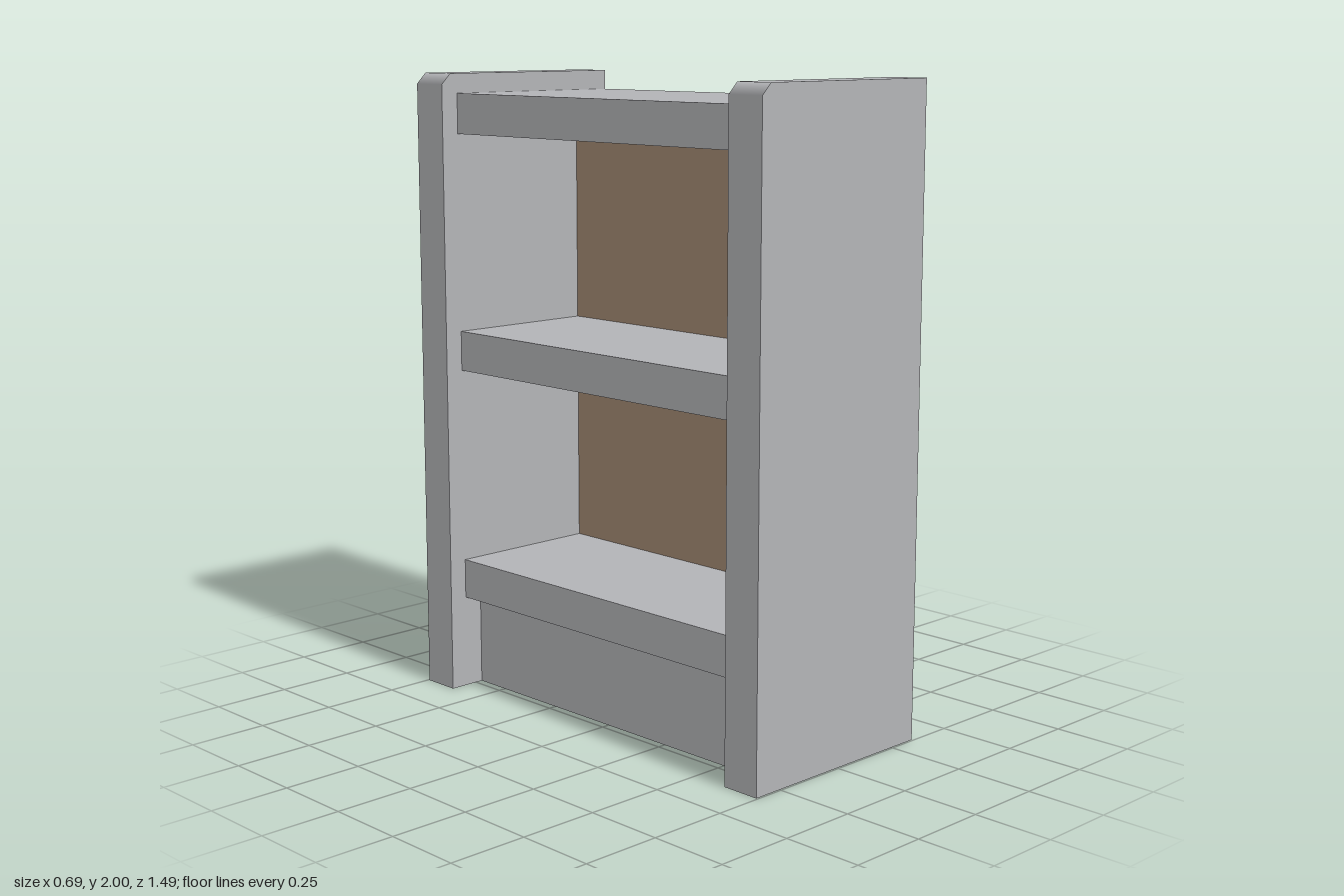
import * as THREE from 'three';

const grey = new THREE.MeshStandardMaterial({ color: 0xb3b4b7 });
grey.name = 'grey paint';
const brown = new THREE.MeshStandardMaterial({ color: 0xa48a74 });
brown.name = 'brown backing';

const FRONT = -0.347, BACK = 0.347; // open side and closed side along x
const INNER = 0.62, OUTER = 0.745;  // inner and outer faces of the side panels
const THICK = 0.127;

// Box given by its x and y limits, spanning the gap between the side panels
function board(name, x0, x1, y0, y1, material = grey) {
  const mesh = new THREE.Mesh(new THREE.BoxGeometry(x1 - x0, y1 - y0, INNER * 2), material);
  mesh.position.set((x0 + x1) / 2, (y0 + y1) / 2, 0);
  mesh.name = name;
  return mesh;
}

// Side panel with a softened upper front corner
function sidePanelGeometry() {
  const c = 0.034;
  const shape = new THREE.Shape([
    [FRONT, 0], [BACK, 0], [BACK, 2], [FRONT + c, 2], [FRONT, 2 - c],
  ].map(([x, y]) => new THREE.Vector2(x, y)));
  const geometry = new THREE.ExtrudeGeometry(shape, { depth: OUTER - INNER, bevelEnabled: false });
  // Blend the corner smoothly from the top face into the front edge
  const { position, normal } = geometry.attributes;
  for (let i = 0; i < position.count; i++) {
    if (normal.getX(i) < -0.1 && normal.getY(i) > 0.1) {
      if (position.getY(i) > 1.99) normal.setXYZ(i, 0, 1, 0);
      else normal.setXYZ(i, -1, 0, 0);
    }
  }
  return geometry;
}

export function createModel() {
  const bookcase = new THREE.Group();
  bookcase.name = 'bookcase';

  // Side panels
  const panel = sidePanelGeometry();
  [['sidePanelNear', INNER], ['sidePanelFar', -OUTER]].forEach(([name, z]) => {
    const mesh = new THREE.Mesh(panel, grey);
    mesh.position.z = z;
    mesh.name = name;
    bookcase.add(mesh);
  });

  // Back panel with its inner backing sheet
  const backInner = BACK - THICK;
  bookcase.add(board('backPanel', backInner, BACK, 0, 1.938));
  bookcase.add(board('backing', backInner - 0.004, backInner, 0.4, 1.83, brown));

  // Shelves, the highest forming the top
  [['lowerShelf', 0.427], ['middleShelf', 1.182], ['topBoard', 1.938]].forEach(([name, top]) => {
    bookcase.add(board(name, -0.287, backInner, top - THICK, top));
  });

  // Recessed plinth
  bookcase.add(board('plinth', -0.225, backInner, 0, 0.3));

  return bookcase;
}
